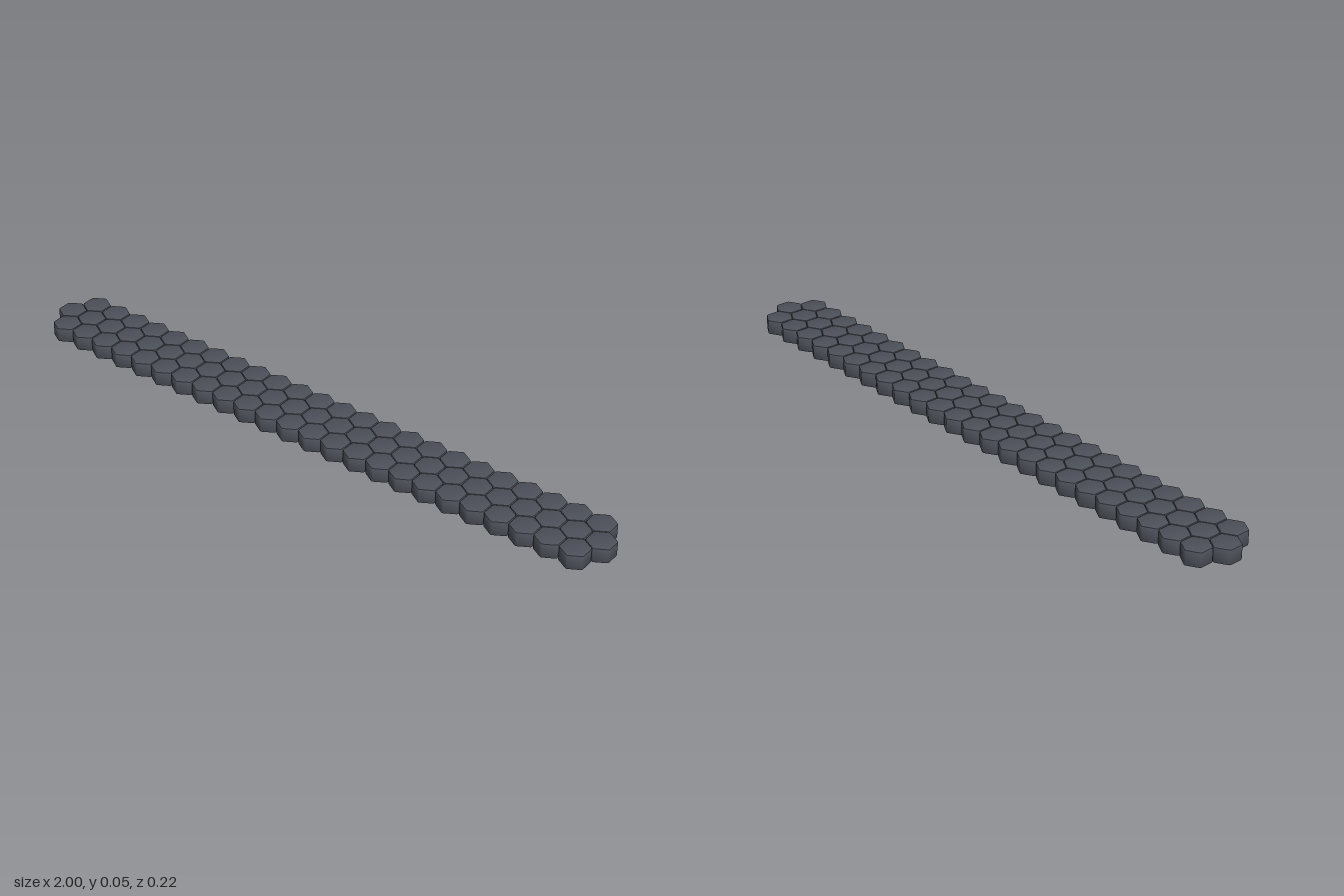
import * as THREE from 'three';
import { toCreasedNormals } from 'three/addons/utils/BufferGeometryUtils.js';

const HEIGHT = 0.047, APOTHEM = 0.0387, BEVEL = 0.003;
const PITCH = (2 - 2 * APOTHEM) / 24; // spacing along a row
const ROW = 0.0675;                   // spacing between rows

// Hexagonal tile with softened corners and rounded rims, points facing +z and -z
function tileGeometry() {
  const radius = (APOTHEM - BEVEL) / Math.cos(Math.PI / 6);
  const corner = i => new THREE.Vector2(
    radius * Math.sin(i * Math.PI / 3), radius * Math.cos(i * Math.PI / 3));
  const shape = new THREE.Shape();
  for (let i = 0; i < 6; i++) {
    const c = corner(i);
    const a = c.clone().lerp(corner(i - 1), 0.07);
    const b = c.clone().lerp(corner(i + 1), 0.07);
    if (i === 0) shape.moveTo(a.x, a.y);
    else shape.lineTo(a.x, a.y);
    shape.quadraticCurveTo(c.x, c.y, b.x, b.y);
  }
  shape.closePath();
  const geometry = new THREE.ExtrudeGeometry(shape, {
    depth: HEIGHT - 2 * BEVEL, bevelEnabled: true, bevelThickness: BEVEL,
    bevelSize: BEVEL, bevelSegments: 2, curveSegments: 3,
  });
  geometry.rotateX(-Math.PI / 2);
  geometry.translate(0, BEVEL, 0);
  return toCreasedNormals(geometry, 0.7);
}

export function createModel() {
  const model = new THREE.Group();
  model.name = 'hexTileStrip';
  const geometry = tileGeometry();
  const material = new THREE.MeshStandardMaterial({ color: 0x4c5059 });

  // Three interlocking rows; the middle one is a tile longer
  const rows = [['backRow', 24, -ROW], ['middleRow', 25, 0], ['frontRow', 24, ROW]];
  for (const [name, count, z] of rows) {
    const row = new THREE.Group();
    row.name = name;
    for (let i = 0; i < count; i++) {
      const tile = new THREE.Mesh(geometry, material);
      tile.name = 'hexTile';
      tile.position.set((i - (count - 1) / 2) * PITCH, 0, z);
      row.add(tile);
    }
    model.add(row);
  }
  return model;
}
